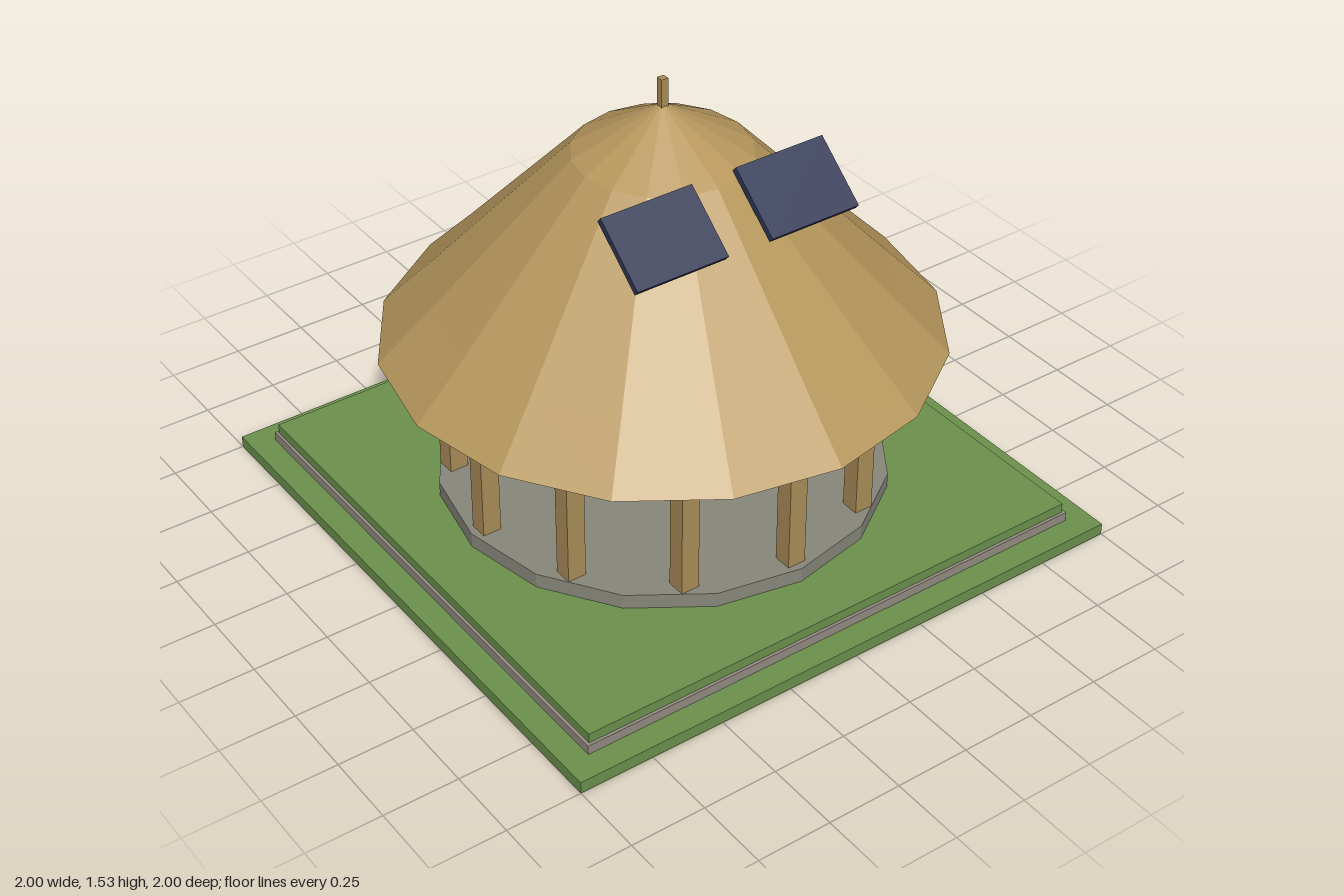
import * as THREE from 'three';

const material = (name, color) => {
  const m = new THREE.MeshStandardMaterial({ color });
  m.name = name;
  m.flatShading = true;
  return m;
};

export function createModel() {
  const grass = material('grass', 0x6b904c);
  const kerbStone = material('kerb stone', 0x938a82);
  const floorStone = material('floor stone', 0x87867b);
  const wood = material('wood', 0xaa8d58);
  const thatch = material('thatch', 0xb6975d);
  const red = material('red cloth', 0xa0352f);
  const navy = material('solar navy', 0x2f3755);

  const model = new THREE.Group();
  model.name = 'pavilion';

  const add = (name, geometry, mat, x = 0, y = 0, z = 0) => {
    const mesh = new THREE.Mesh(geometry, mat);
    mesh.name = name;
    mesh.position.set(x, y, z);
    model.add(mesh);
    return mesh;
  };
  // box standing between two heights
  const slab = (name, w, d, y0, y1, mat, x = 0, z = 0) =>
    add(name, new THREE.BoxGeometry(w, y1 - y0, d), mat, x, (y0 + y1) / 2, z);

  // stepped ground
  slab('lawn', 2, 2, 0, 0.04, grass);
  slab('kerb', 1.836, 1.836, 0.04, 0.072, kerbStone);
  slab('upperLawn', 1.816, 1.816, 0.072, 0.105, grass);

  // sixteen-sided floor
  add('floor', new THREE.CylinderGeometry(0.727, 0.727, 0.05, 16), floorStone, 0, 0.13, 0);

  // ring of posts, with a valance in every other gap
  const ring = 0.67;
  for (let i = 0; i < 12; i++) {
    const a = (i * Math.PI) / 6;
    slab('post', 0.063, 0.063, 0.155, 0.642, wood, ring * Math.sin(a), ring * Math.cos(a));
    if (i % 2) {
      const b = a + Math.PI / 12;
      const valance = slab('valance', 0.3, 0.03, 0.54, 0.641, red, ring * Math.sin(b), ring * Math.cos(b));
      valance.rotation.y = b;
    }
  }

  // faceted roof, closed underneath
  const profile = [[0, 0.642], [0.895, 0.642], [0.73, 0.81], [0.28, 1.285], [0, 1.445]];
  add('roof', new THREE.LatheGeometry(profile.map(([r, y]) => new THREE.Vector2(r, y)), 16), thatch);
  slab('finial', 0.024, 0.024, 1.42, 1.53, wood);

  // tilted solar panels on the front slope
  for (const side of [-1, 1]) {
    const panel = add('solarPanel', new THREE.BoxGeometry(0.323, 0.023, 0.24), navy, side * 0.241, 1.234, 0.342);
    panel.rotation.x = THREE.MathUtils.degToRad(40);
  }
  return model;
}
